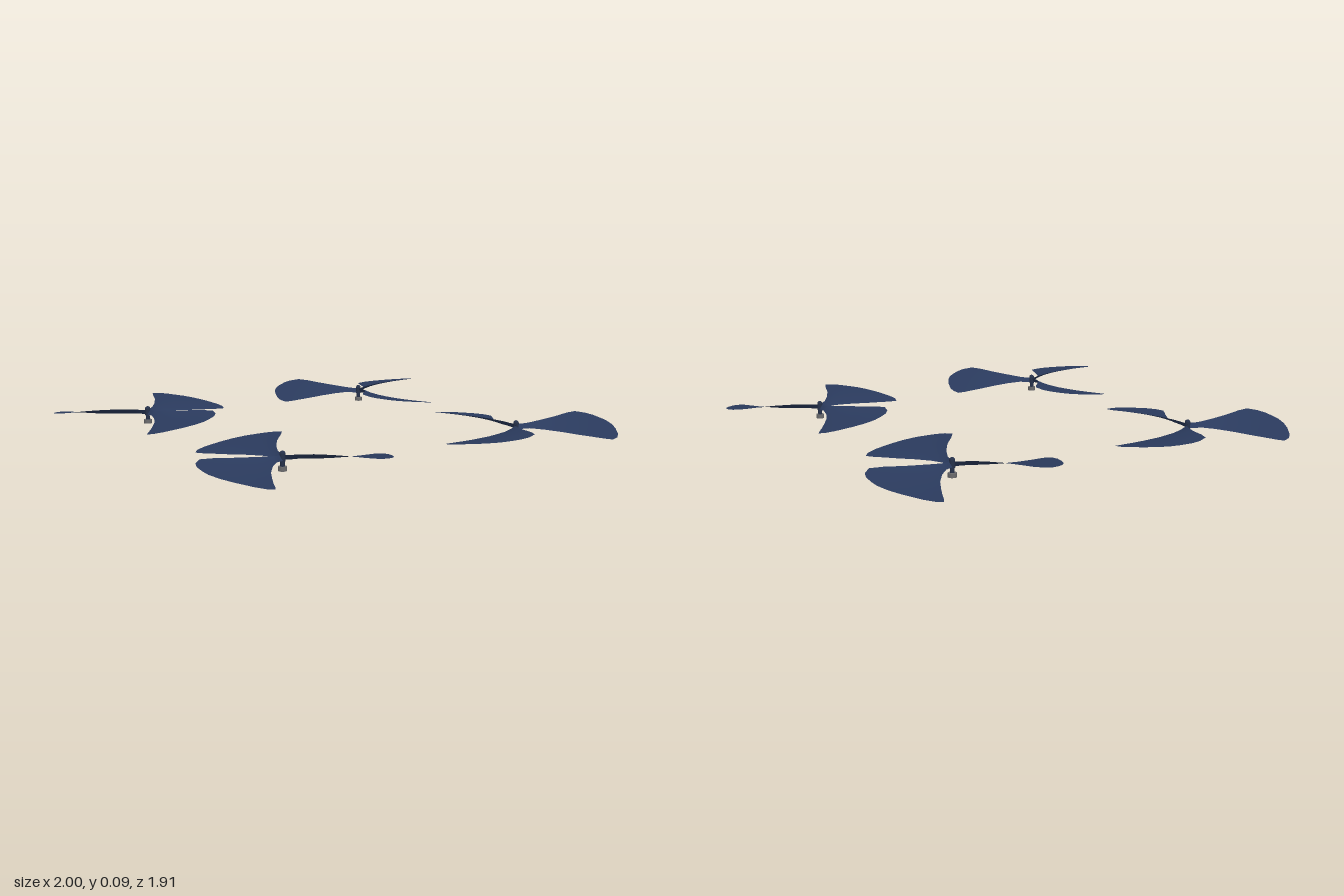
import * as THREE from 'three';

const bladeBlue = new THREE.MeshStandardMaterial({ color: 0x2a3a5d, side: THREE.DoubleSide });
bladeBlue.name = 'navy blade';
const hubBlue = new THREE.MeshStandardMaterial({ color: 0x26314a });
hubBlue.name = 'dark navy hub';
const baseGrey = new THREE.MeshStandardMaterial({ color: 0x6c6c6e });
baseGrey.name = 'grey base';

const HUB_X = 0.597, HUB_Z = 0.608, BLADE_Y = 0.053, PITCH = 0.056;

// Blade cross-sections: distance from hub, low edge, high edge
const SECTIONS = [
  [0.0, -0.008, 0.008], [0.03, -0.007, 0.008], [0.06, -0.008, 0.015], [0.12, -0.024, 0.044],
  [0.19, -0.056, 0.09], [0.26, -0.101, 0.15], [0.305, -0.131, 0.182], [0.35, -0.164, 0.172],
  [0.38, -0.182, 0.147], [0.405, -0.16, 0.106], [0.421, -0.118, 0.072], [0.431, -0.04, 0.02],
];

// Twisted blade whose pitch flattens toward the tip; sx and sz mirror it
function bladeGeometry(angle, sx, sz) {
  const cols = 10, pos = [], index = [];
  const c = Math.cos(angle), n = Math.sin(angle);
  for (const [r, lo, hi] of SECTIONS) {
    for (let j = 0; j <= cols; j++) {
      const s = lo + (hi - lo) * j / cols;
      const y = PITCH * s / Math.max(r, 0.04);
      pos.push(sx * (s * c - r * n), y, sz * (s * n + r * c));
    }
  }
  const w = cols + 1;
  for (let i = 0; i < SECTIONS.length - 1; i++) {
    for (let j = 0; j < cols; j++) {
      const a = i * w + j, b = a + 1, d = a + w, e = d + 1;
      if (sx * sz > 0) index.push(a, d, b, b, d, e);
      else index.push(a, b, d, b, e, d);
    }
  }
  const g = new THREE.BufferGeometry();
  g.setAttribute('position', new THREE.Float32BufferAttribute(pos, 3));
  g.setIndex(index);
  g.computeVertexNormals();
  return g;
}

function cylinder(name, radius, y0, y1, material) {
  const m = new THREE.Mesh(new THREE.CylinderGeometry(radius, radius, y1 - y0, 20), material);
  m.name = name;
  m.position.y = (y0 + y1) / 2;
  return m;
}

function propeller(sx, sz) {
  const group = new THREE.Group();
  group.name = 'propeller';
  // Hub: base, shaft, collar and rounded cap
  group.add(cylinder('base', 0.018, 0, 0.018, baseGrey));
  group.add(cylinder('shaft', 0.009, 0.018, 0.04, hubBlue));
  group.add(cylinder('collar', 0.012, 0.038, 0.068, hubBlue));
  const cap = new THREE.Mesh(new THREE.SphereGeometry(0.012, 20, 8, 0, Math.PI * 2, 0, Math.PI / 2), hubBlue);
  cap.name = 'cap';
  cap.position.y = 0.068;
  group.add(cap);
  // Three blades
  for (let k = 0; k < 3; k++) {
    const blade = new THREE.Mesh(bladeGeometry(k * Math.PI * 2 / 3, sx, sz), bladeBlue);
    blade.name = 'blade';
    blade.position.y = BLADE_Y;
    group.add(blade);
  }
  return group;
}

export function createModel() {
  const model = new THREE.Group();
  model.name = 'propellerSet';
  // Four propellers, mirrored left-right and front-back
  for (const x of [-1, 1]) {
    for (const z of [-1, 1]) {
      const p = propeller(-x, -z);
      p.name = (z > 0 ? 'front' : 'back') + (x > 0 ? 'Left' : 'Right') + 'Propeller';
      p.position.set(x * HUB_X, 0, z * HUB_Z);
      model.add(p);
    }
  }
  return model;
}
